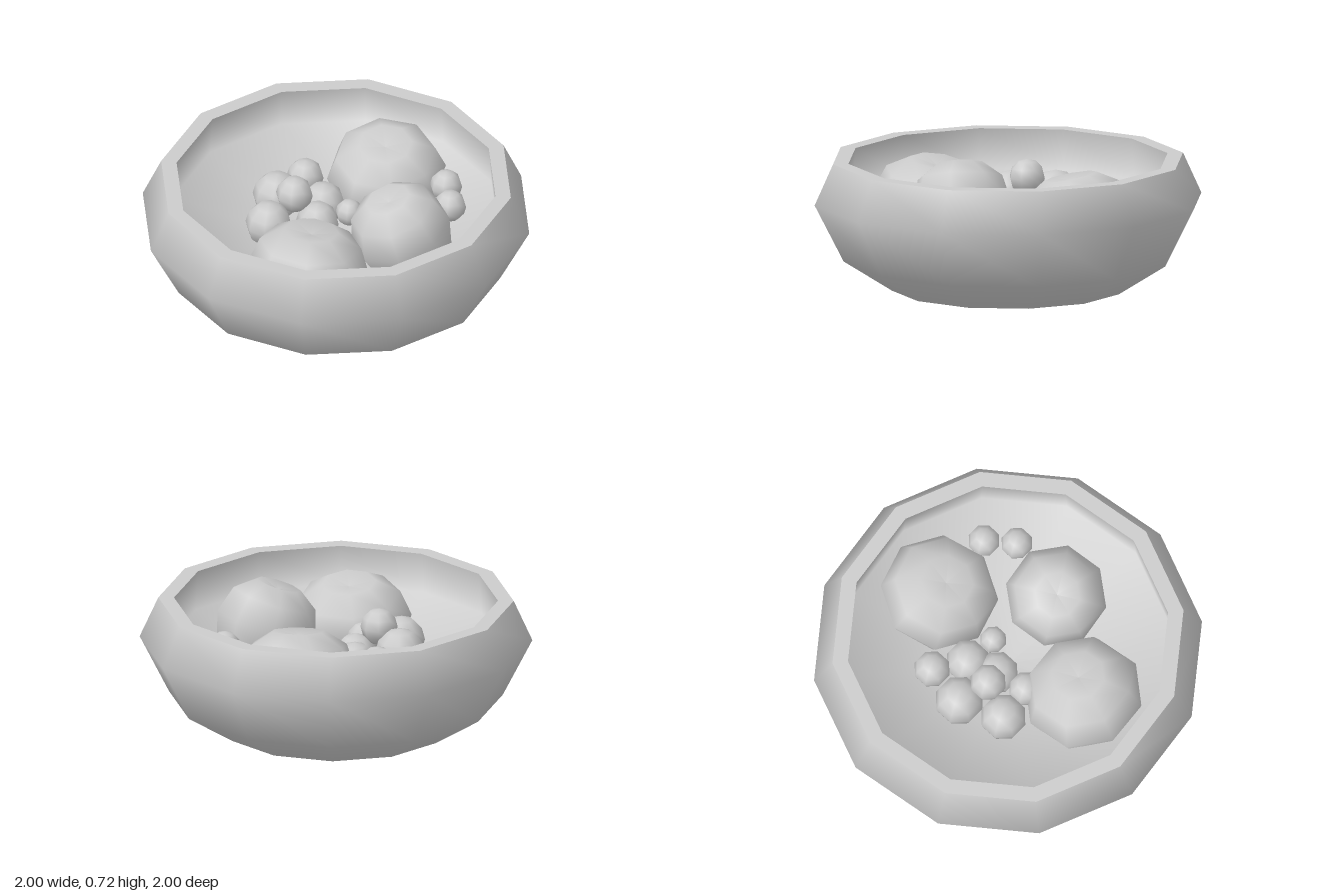
import * as THREE from 'three';

const material = new THREE.MeshStandardMaterial({ color: 0xcccccc, side: THREE.DoubleSide });

function lathe(points, sides) {
  return new THREE.LatheGeometry(points.map(([r, y]) => new THREE.Vector2(r, y)), sides);
}

function addMesh(parent, name, geometry, position = [0, 0, 0]) {
  const mesh = new THREE.Mesh(geometry, material);
  mesh.name = name;
  mesh.position.set(...position);
  parent.add(mesh);
  return mesh;
}

export function createModel() {
  const model = new THREE.Group();
  model.name = 'fruitBowl';

  // Twelve-sided bowl: outer wall (open underneath), flat rim and shallow inside
  const bowl = new THREE.Group();
  bowl.name = 'bowl';
  model.add(bowl);
  addMesh(bowl, 'outerWall', lathe([[0.6, 0], [0.85, 0.16], [1, 0.455], [0.905, 0.665]], 12));
  addMesh(bowl, 'rim', lathe([[0.905, 0.665], [0.825, 0.665]], 12));
  addMesh(bowl, 'innerSurface', lathe([[0.825, 0.665], [0.84, 0.455], [0.36, 0.305], [0, 0.26]], 12));

  // Large fruit: eight-sided, tapering below, with a dimple on top
  const fruitShape = lathe([
    [0, -0.9], [0.42, -0.88], [0.84, -0.4], [1, 0.15],
    [0.84, 0.62], [0.45, 0.88], [0, 0.8],
  ], 8);
  const fruits = [
    // position, radius, half height, tilt about x and z, turn
    [[0.18, 0.39, -0.45], 0.305, 0.28, 0.2, 0, 0.3],
    [[0.37, 0.445, 0.12], 0.262, 0.29, 0.1, 0.3, 0.15],
    [[-0.065, 0.365, 0.44], 0.31, 0.29, -0.15, -0.05, 0.1],
  ];
  for (const [position, radius, height, tiltX, tiltZ, turn] of fruits) {
    const fruit = addMesh(model, 'largeFruit', fruitShape, position);
    fruit.scale.set(radius, height, radius);
    fruit.rotation.set(tiltX, turn, tiltZ);
  }

  // Small round berries: x, y, z, radius
  const berries = [
    [-0.22, 0.43, -0.33, 0.095], [-0.33, 0.43, -0.14, 0.127],
    [-0.1, 0.38, -0.18, 0.115], [-0.22, 0.53, -0.025, 0.095],
    [-0.1, 0.375, -0.02, 0.11], [0.05, 0.4, -0.1, 0.07],
    [-0.33, 0.42, 0.1, 0.12], [-0.14, 0.4, 0.15, 0.09],
    [0.51, 0.47, -0.325, 0.083], [0.56, 0.46, -0.165, 0.083],
  ];
  for (const [x, y, z, radius] of berries) {
    addMesh(model, 'berry', new THREE.SphereGeometry(radius, 8, 6), [x, y, z]);
  }
  return model;
}
